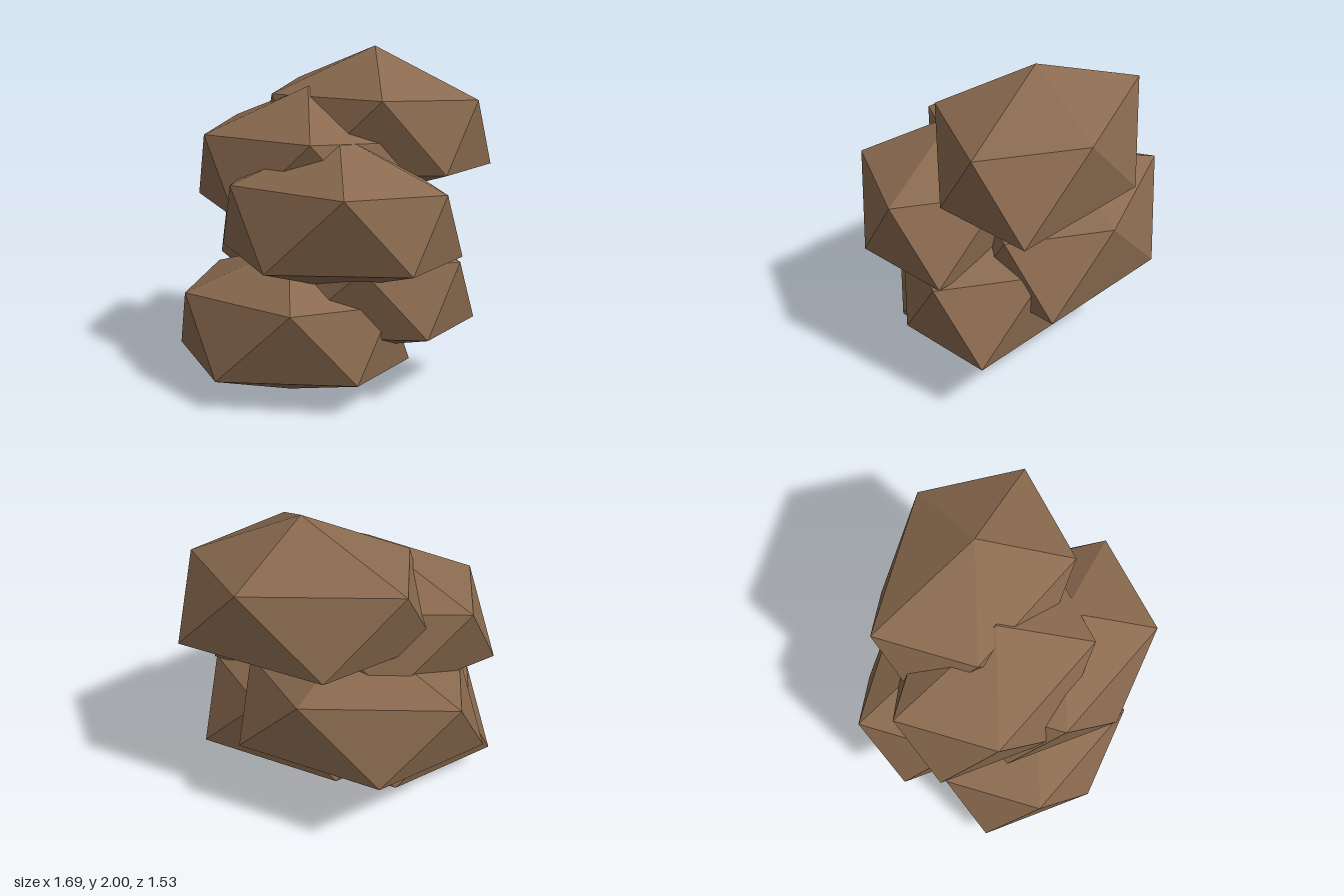
import * as THREE from 'three';

// One faceted boulder: a stretched, slightly uneven icosahedron standing on y = 0
function boulderGeometry() {
  const top = [0, 0.89, 0], bottom = [0, 0, 0];
  const upper = [
    [0.635, 0.605, 0], [0.235, 0.637, 0.49], [-0.545, 0.61, 0.27],
    [-0.638, 0.642, -0.31], [0.235, 0.632, -0.47],
  ];
  const lower = [
    [0.54, 0.205, 0.265], [-0.235, 0.187, 0.485], [-0.745, 0.188, 0],
    [-0.235, 0.177, -0.508], [0.635, 0.182, -0.31],
  ];
  const points = [];
  for (let i = 0; i < 5; i++) {
    const j = (i + 1) % 5;
    points.push(
      top, upper[j], upper[i],
      upper[i], upper[j], lower[i],
      lower[i], upper[j], lower[j],
      bottom, lower[i], lower[j],
    );
  }
  const geometry = new THREE.BufferGeometry();
  geometry.setAttribute('position', new THREE.Float32BufferAttribute(points.flat(), 3));
  geometry.computeVertexNormals();
  return geometry;
}

export function createModel() {
  const model = new THREE.Group();
  model.name = 'boulderPile';
  const rock = new THREE.MeshStandardMaterial({ color: 0x8a6a4f });
  rock.name = 'brownRock';
  rock.flatShading = true;
  const geometry = boulderGeometry();

  // Six boulders climb in even steps, swinging side to side and front to back
  for (let i = 0; i < 6; i++) {
    const boulder = new THREE.Mesh(geometry, rock);
    boulder.name = `boulder${i + 1}`;
    boulder.position.set(i % 2 ? 0.207 : -0.104, i * 0.222, 0.275 - (i % 3) * 0.268);
    model.add(boulder);
  }
  return model;
}
